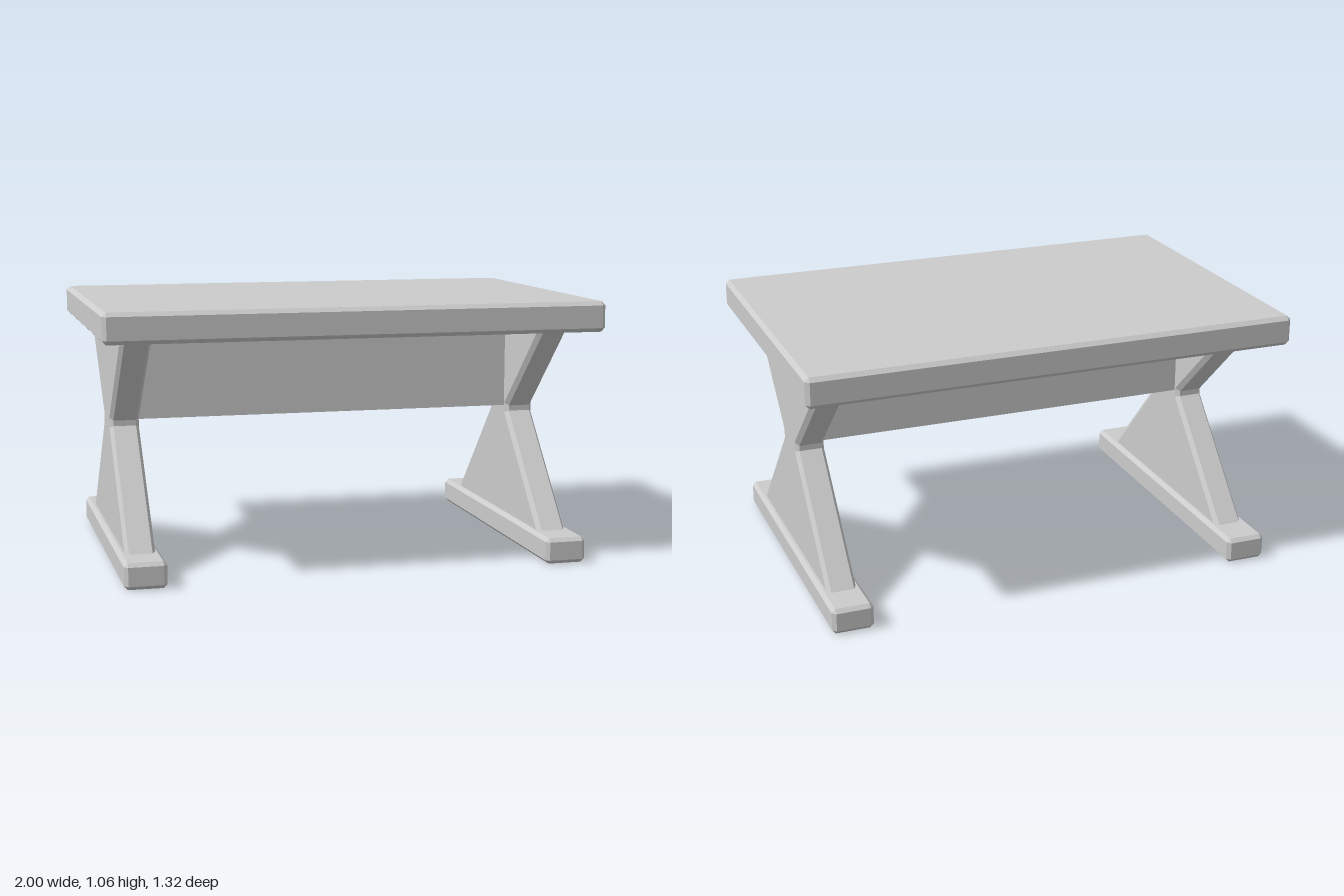
import * as THREE from 'three';
import { ConvexGeometry } from 'three/addons/geometries/ConvexGeometry.js';

const material = new THREE.MeshStandardMaterial({ color: 0xcccccc, flatShading: true });

function addPart(parent, name, geometry, x = 0, y = 0) {
  const mesh = new THREE.Mesh(geometry, material);
  mesh.name = name;
  mesh.position.set(x, y, 0);
  parent.add(mesh);
}

// Box with every edge cut at an angle
function chamferedBox(w, h, d, c) {
  const points = [];
  for (const sx of [-1, 1]) for (const sy of [-1, 1]) for (const sz of [-1, 1]) {
    for (let axis = 0; axis < 3; axis++) {
      const inset = [c, c, c];
      inset[axis] = 0;
      points.push(new THREE.Vector3(
        sx * (w / 2 - inset[0]), sy * (h / 2 - inset[1]), sz * (d / 2 - inset[2])));
    }
  }
  return new ConvexGeometry(points);
}

// Hourglass panel with bevelled edges; its ends are sunk into the top and the foot
function legGeometry() {
  const side = [
    [0.503, 0.04], [0.503, 0.08], [0.08, 0.535],
    [0.08, 0.575], [0.492, 0.96], [0.492, 1.0],
  ];
  const outline = [...side, ...side.map(([z, y]) => [-z, y]).reverse()];
  const shape = new THREE.Shape(outline.map(([z, y]) => new THREE.Vector2(z, y)));
  const depth = 0.092;
  const geometry = new THREE.ExtrudeGeometry(shape, {
    depth, bevelEnabled: true, bevelSegments: 1, bevelSize: 0.021, bevelThickness: 0.014,
  });
  geometry.translate(0, 0, -depth / 2);
  geometry.rotateY(Math.PI / 2);
  return geometry;
}

export function createModel() {
  const table = new THREE.Group();
  table.name = 'table';

  addPart(table, 'tableTop', chamferedBox(2, 0.122, 1.315, 0.016), 0, 0.996);

  // Thick beam between the legs
  addPart(table, 'crossBeam', new THREE.BoxGeometry(1.62, 0.385, 0.15), 0, 0.7575);

  // Leg and foot on each side
  for (const [name, s] of [['left', 1], ['right', -1]]) {
    addPart(table, name + 'Leg', legGeometry(), s * 0.85);
    addPart(table, name + 'Foot', chamferedBox(0.167, 0.105, 1.315, 0.015), s * 0.851, 0.0525);
  }
  return table;
}
